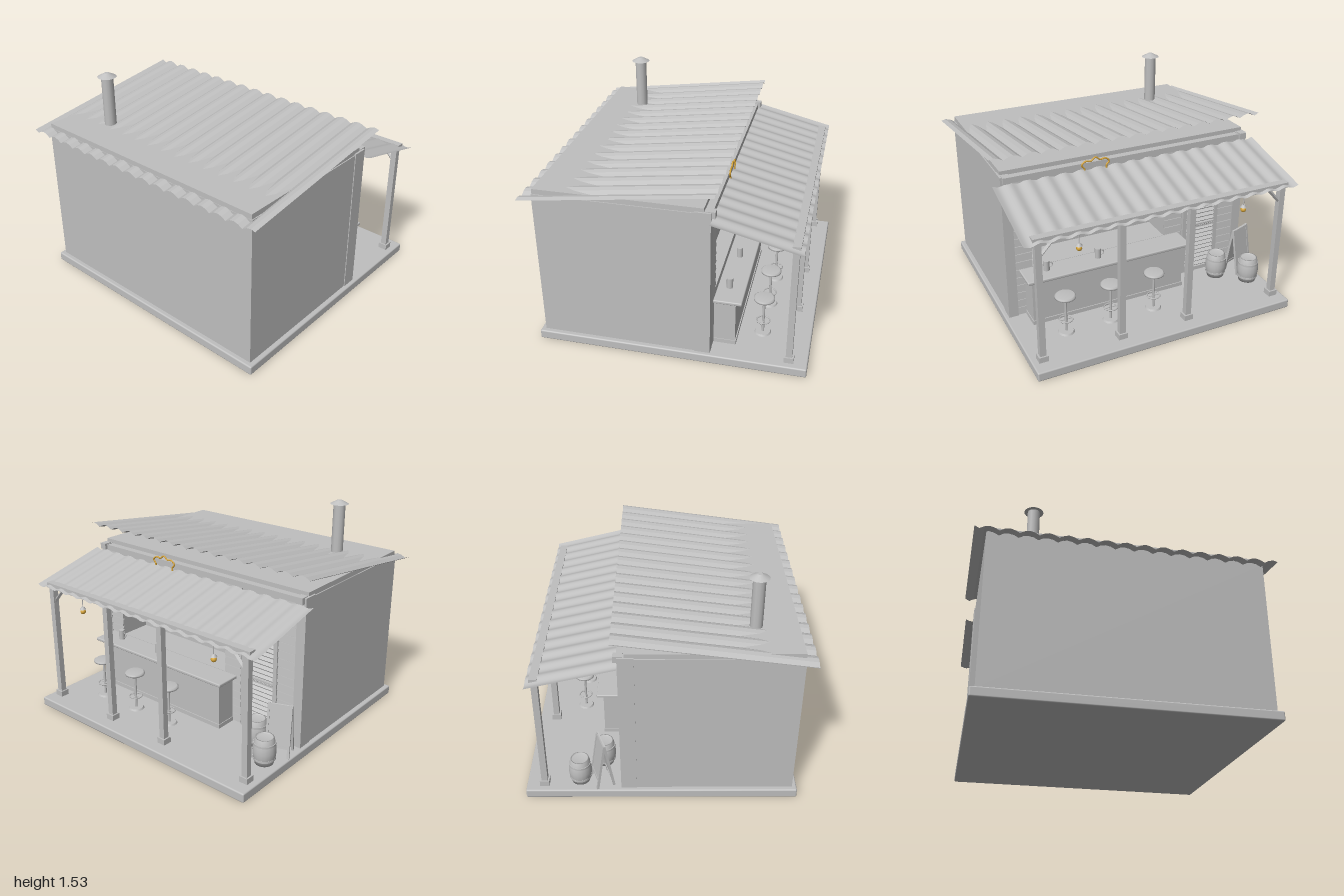
import * as THREE from 'three';
import { RoundedBoxGeometry } from 'three/addons/geometries/RoundedBoxGeometry.js';

export function createModel() {
  const root = new THREE.Group();
  const grey = new THREE.MeshStandardMaterial({ color: 0xbfbfbf });
  grey.name = 'plain grey';
  const greySheet = grey;
  greySheet.side = THREE.DoubleSide;
  const gold = new THREE.MeshStandardMaterial({ color: 0xd8a63a });
  gold.name = 'warm gold';

  const add = (name, geo, x = 0, y = 0, z = 0, mat = grey, parent = root) => {
    const m = new THREE.Mesh(geo, mat);
    m.name = name;
    m.position.set(x, y, z);
    parent.add(m);
    return m;
  };
  // box given by its limits on each axis
  const box = (name, x0, x1, y0, y1, z0, z1, mat = grey, parent = root) =>
    add(name, new THREE.BoxGeometry(x1 - x0, y1 - y0, z1 - z0),
      (x0 + x1) / 2, (y0 + y1) / 2, (z0 + z1) / 2, mat, parent);
  const cyl = (name, r0, r1, y0, y1, x, z, seg = 16, mat = grey, parent = root) =>
    add(name, new THREE.CylinderGeometry(r1, r0, y1 - y0, seg), x, (y0 + y1) / 2, z, mat, parent);
  const group = (name, x, y, z) => {
    const g = new THREE.Group();
    g.name = name;
    g.position.set(x, y, z);
    root.add(g);
    return g;
  };
  // straight square bar between two points
  const bar = (name, a, b, t, parent = root) => {
    const p = new THREE.Vector3(...a), q = new THREE.Vector3(...b);
    const m = add(name, new THREE.BoxGeometry(t, t, p.distanceTo(q)), 0, 0, 0, grey, parent);
    m.position.copy(p).add(q).multiplyScalar(0.5);
    m.quaternion.setFromUnitVectors(new THREE.Vector3(0, 0, 1), q.sub(p).normalize());
    return m;
  };
  // corrugated sheet running from a high or low z edge to the other
  const sheet = (name, half, steps, a, b, wave, flat) => {
    let geo = new THREE.PlaneGeometry(half * 2, 1, steps, 1);
    const p = geo.attributes.position;
    for (let i = 0; i < p.count; i++) {
      const x = p.getX(i), e = p.getY(i) > 0 ? b : a;
      p.setXYZ(i, x, e[1] + wave(x), e[0]);
    }
    if (flat) geo = geo.toNonIndexed();
    geo.computeVertexNormals();
    return add(name, geo, 0, 0, 0, greySheet);
  };

  // floor slab
  add('floorSlab', new RoundedBoxGeometry(1.91, 0.065, 1.83, 2, 0.01), 0, 0.0325, -0.023);

  // house body, with a serving window recessed in the bar side
  const F = 0.065, zw = -0.28;
  box('houseBody', -0.922, 0.922, F, 1.12, -0.05, 0.86);
  box('counterWall', -0.28, 0.74, F, 0.42, zw, -0.05);
  box('windowLintel', -0.28, 0.74, 0.79, 1.12, zw, -0.05);
  box('windowSideWall', 0.74, 0.922, F, 1.12, zw, -0.05);
  box('doorSideWall', -0.922, -0.28, F, 1.12, zw, -0.05);
  box('ceilingSlab', -0.915, 0.915, 1.12, 1.155, -0.25, 0.857);
  box('windowLight', -0.05, 0.73, 0.778, 0.789, -0.16, -0.14, gold);

  // corner trims and top beam
  for (const s of [-1, 1]) {
    const a = s * 0.86, b = s * 0.928;
    box('cornerTrim', Math.min(a, b), Math.max(a, b), F, 1.13, -0.295, -0.245);
    box('sideTrim', s * 0.922 - 0.006, s * 0.922 + 0.006, F, 1.13, -0.245, -0.19);
    box('beamEnd', s * 0.89 - 0.025, s * 0.89 + 0.025, 1.09, 1.135, -0.32, -0.26);
  }
  box('topBeam', -0.9, 0.9, 1.085, 1.125, -0.3, -0.24);

  // horizontal wall planks
  for (const [x0, x1] of [[0.74, 0.86], [-0.42, -0.28], [-0.86, -0.72]])
    for (let i = 0; i < 17; i++) {
      const y = F + 0.005 + i * 0.06;
      const m = box('wallPlank', x0, x1, y, y + 0.052, zw - 0.012, zw);
      m.rotation.x = 0.12;
    }

  // louvred door
  for (const x of [-0.71, -0.445]) box('doorFrame', x - 0.015, x + 0.015, F, 0.85, zw - 0.022, zw);
  for (const y of [0.08, 0.45, 0.835]) box('doorRail', -0.71, -0.445, y - 0.015, y + 0.015, zw - 0.022, zw);
  for (let i = 0; i < 21; i++) {
    const y = 0.115 + i * 0.034;
    const m = box('doorLouvre', -0.695, -0.46, y - 0.004, y + 0.004, zw - 0.024, zw + 0.002);
    m.rotation.x = -0.6;
  }

  // roofs
  sheet('mainRoof', 1, 64, [0.93, 1.105], [-0.33, 1.275],
    x => 0.026 * Math.abs(Math.sin(Math.PI * (x + 0.97) / 0.125)) - 0.014, true);
  sheet('porchRoof', 0.982, 128, [-0.295, 1.078], [-0.868, 0.938],
    x => 0.008 * Math.cos(2 * Math.PI * x / 0.125), false);

  // chimney
  cyl('chimneyPipe', 0.042, 0.042, 1.13, 1.51, -0.6, 0.58, 12);
  cyl('chimneyCap', 0.066, 0.016, 1.505, 1.532, -0.6, 0.58, 16);

  // porch posts, beam and braces
  const zp = -0.815;
  for (const x of [0.88, 0.32, -0.18, -0.88]) {
    box('porchPost', x - 0.021, x + 0.021, F, 0.94, zp - 0.021, zp + 0.021);
    box('postFoot', x - 0.032, x + 0.032, F, 0.105, zp - 0.032, zp + 0.032);
  }
  box('porchBeam', -0.915, 0.915, 0.925, 0.963, zp - 0.028, zp + 0.025);
  for (const s of [-1, 1])
    bar('postBrace', [s * 0.87, 0.82, zp], [s * 0.77, 0.93, zp], 0.018);

  // bar counter
  box('counterBody', -0.35, 0.8, F, 0.41, -0.44, -0.295);
  box('counterKick', -0.355, 0.805, F, 0.095, -0.447, -0.295);
  const top = add('counterTop', new RoundedBoxGeometry(1.23, 0.024, 0.19, 2, 0.008), 0.225, 0.42, -0.39);
  top.name = 'counterTop';
  for (const x of [0.29, 0.67]) {
    cyl('mug', 0.022, 0.022, 0.43, 0.505, x, -0.375, 12);
    const h = add('mugHandle', new THREE.TorusGeometry(0.018, 0.004, 6, 12), x - 0.025, 0.468, -0.375);
    h.name = 'mugHandle';
  }

  // stools
  for (const x of [0.63, 0.3, -0.03]) {
    const g = group('stool', x, 0, -0.605);
    cyl('stoolFoot', 0.057, 0.05, F, 0.077, 0, 0, 20, grey, g);
    cyl('stoolPole', 0.009, 0.009, 0.07, 0.34, 0, 0, 10, grey, g);
    const ring = add('stoolRing', new THREE.TorusGeometry(0.045, 0.005, 6, 20), 0, 0.165, 0, grey, g);
    ring.rotation.x = Math.PI / 2;
    box('ringSpoke', -0.045, 0.045, 0.162, 0.168, -0.004, 0.004, grey, g);
    add('stoolSeat', new THREE.LatheGeometry([[0, 0.335], [0.06, 0.335], [0.071, 0.342], [0.071, 0.353],
      [0.06, 0.361], [0, 0.361]].map(p => new THREE.Vector2(...p)), 24), 0, 0, 0, grey, g);
  }

  // barrels
  const barrelProfile = [[0, 0], [0.062, 0], [0.074, 0.05], [0.079, 0.093], [0.074, 0.14], [0.062, 0.187],
    [0.055, 0.187], [0.055, 0.177], [0, 0.177]].map(p => new THREE.Vector2(...p));
  for (const [x, z] of [[-0.84, -0.575], [-0.66, -0.42]]) {
    const g = group('barrel', x, F, z);
    add('barrelBody', new THREE.LatheGeometry(barrelProfile, 18), 0, 0, 0, grey, g);
    for (const y of [0.04, 0.147]) cyl('barrelHoop', 0.075, 0.075, y - 0.007, y + 0.007, 0, 0, 18, grey, g);
  }

  // folding board stand
  const stand = group('boardStand', -0.85, F, -0.425);
  stand.rotation.y = 0.35;
  for (const s of [-1, 1]) {
    const leaf = new THREE.Group();
    leaf.name = 'boardLeaf';
    leaf.position.y = 0.36;
    leaf.rotation.x = s * 0.16;
    stand.add(leaf);
    for (const x of [-0.075, 0.075]) box('boardLeg', x - 0.008, x + 0.008, -0.36, 0, -0.008, 0.008, grey, leaf);
    for (const y of [-0.29, -0.01]) box('boardRail', -0.075, 0.075, y - 0.008, y + 0.008, -0.008, 0.008, grey, leaf);
    box('boardPanel', -0.07, 0.07, -0.285, -0.015, -0.004, 0.004, grey, leaf);
  }

  // hanging lanterns
  for (const x of [0.6, -0.6]) {
    cyl('lanternCord', 0.003, 0.003, 0.835, 0.93, x, -0.79, 6);
    cyl('lanternCap', 0.022, 0.01, 0.82, 0.838, x, -0.79, 12);
    add('lanternBulb', new THREE.SphereGeometry(0.019, 14, 10), x, 0.803, -0.79, gold);
  }

  // glowing mug outline on the wall
  const sign = group('mugSign', 0.27, 0, -0.305);
  const tube = (name, pts) => add(name, new THREE.TubeGeometry(new THREE.CatmullRomCurve3(
    pts.map(p => new THREE.Vector3(p[0], p[1], 0))), 32, 0.006, 6), 0, 0, 0, gold, sign);
  tube('mugOutline', [[-0.08, 1.09], [-0.08, 0.92], [-0.07, 0.88], [-0.04, 0.87], [0.04, 0.87],
    [0.07, 0.88], [0.08, 0.92], [0.08, 1.09]]);
  for (const x of [-0.028, 0.028]) tube('mugRib', [[x, 0.92], [x, 1.05]]);
  tube('mugHandleOutline', [[0.08, 1.05], [0.125, 1.045], [0.14, 1.0], [0.125, 0.945], [0.08, 0.935]]);
  tube('foamOutline', [[-0.08, 1.09], [-0.1, 1.115], [-0.07, 1.14], [-0.035, 1.135], [0, 1.158],
    [0.035, 1.135], [0.07, 1.14], [0.1, 1.115], [0.08, 1.09]]);
  return root;
}
